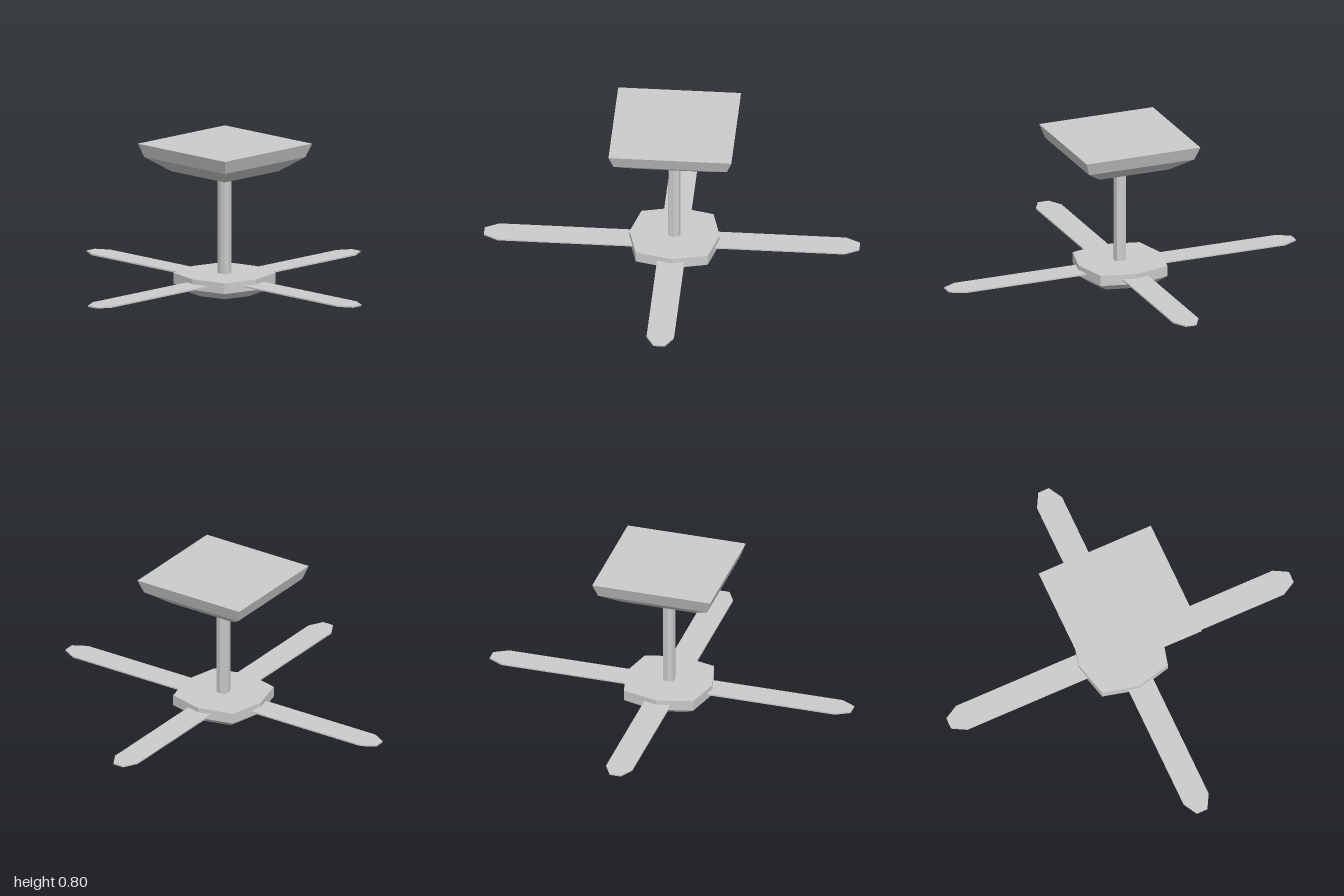
import * as THREE from 'three';

const material = new THREE.MeshStandardMaterial({ color: 0xcccccc, flatShading: true });

// Square outline with the given half width
const square = (h) => [[h, h], [h, -h], [-h, -h], [-h, h]];

// Eight-sided outline: corners at (c, c), side midpoints pushed out to m
const bulged = (c, m) => [[c, c], [m, 0], [c, -c], [0, -m], [-c, -c], [-m, 0], [-c, c], [0, m]];

// Closed solid through stacked outlines, listed from bottom to top
function loft(rings) {
  const pos = [];
  const n = rings[0].outline.length;
  const point = (r, i) => {
    const [x, z] = rings[r].outline[i % n];
    return [x, rings[r].y, z];
  };
  const tri = (a, b, c) => pos.push(...a, ...b, ...c);
  for (let r = 0; r < rings.length - 1; r++) {
    for (let i = 0; i < n; i++) {
      tri(point(r, i), point(r, i + 1), point(r + 1, i + 1));
      tri(point(r, i), point(r + 1, i + 1), point(r + 1, i));
    }
  }
  const top = rings.length - 1;
  for (let i = 1; i < n - 1; i++) {
    tri(point(0, 0), point(0, i + 1), point(0, i));
    tri(point(top, 0), point(top, i), point(top, i + 1));
  }
  const geometry = new THREE.BufferGeometry();
  geometry.setAttribute('position', new THREE.Float32BufferAttribute(pos, 3));
  geometry.computeVertexNormals();
  return geometry;
}

// Thin blade running along +x with a chamfered tip
function bladeGeometry() {
  const half = 0.073, tip = 0.031, start = 0.15, end = 0.998, thickness = 0.008;
  const shape = new THREE.Shape([
    [start, -half], [0.922, -half], [end, -tip], [end, tip], [0.922, half], [start, half],
  ].map(([x, y]) => new THREE.Vector2(x, y)));
  return new THREE.ExtrudeGeometry(shape, { depth: thickness, bevelEnabled: false })
    .rotateX(-Math.PI / 2)
    .translate(0, 0.066, 0);
}

export function createModel() {
  const model = new THREE.Group();
  model.name = 'pedestalStand';

  const add = (name, geometry, x = 0, z = 0) => {
    const mesh = new THREE.Mesh(geometry, material);
    mesh.name = name;
    mesh.position.set(x, 0, z);
    model.add(mesh);
    return mesh;
  };

  // Hub with a tapered underside
  add('hub', loft([
    { y: 0, outline: bulged(0.146, 0.183) },
    { y: 0.042, outline: bulged(0.192, 0.24) },
    { y: 0.1, outline: bulged(0.192, 0.24) },
  ]), 0.001, -0.013);

  // Central post
  add('post', loft([
    { y: 0.09, outline: bulged(0.026, 0.032) },
    { y: 0.66, outline: bulged(0.026, 0.032) },
  ]), 0.002, -0.012);

  // Square platform, flaring upward in two steps
  add('platform', loft([
    { y: 0.65, outline: square(0.2) },
    { y: 0.727, outline: square(0.302) },
    { y: 0.8, outline: square(0.327) },
  ]), 0.003, -0.014);

  // Four flat legs, with slightly offset centre lines
  const blade = bladeGeometry();
  const legs = [
    ['leftLeg', 0, 0, -0.01],
    ['backLeg', 1, 0.004, 0],
    ['rightLeg', 2, 0, -0.01],
    ['frontLeg', 3, 0.02, 0],
  ];
  for (const [name, turn, x, z] of legs) {
    add(name, blade, x, z).rotation.y = turn * Math.PI / 2;
  }

  return model;
}
